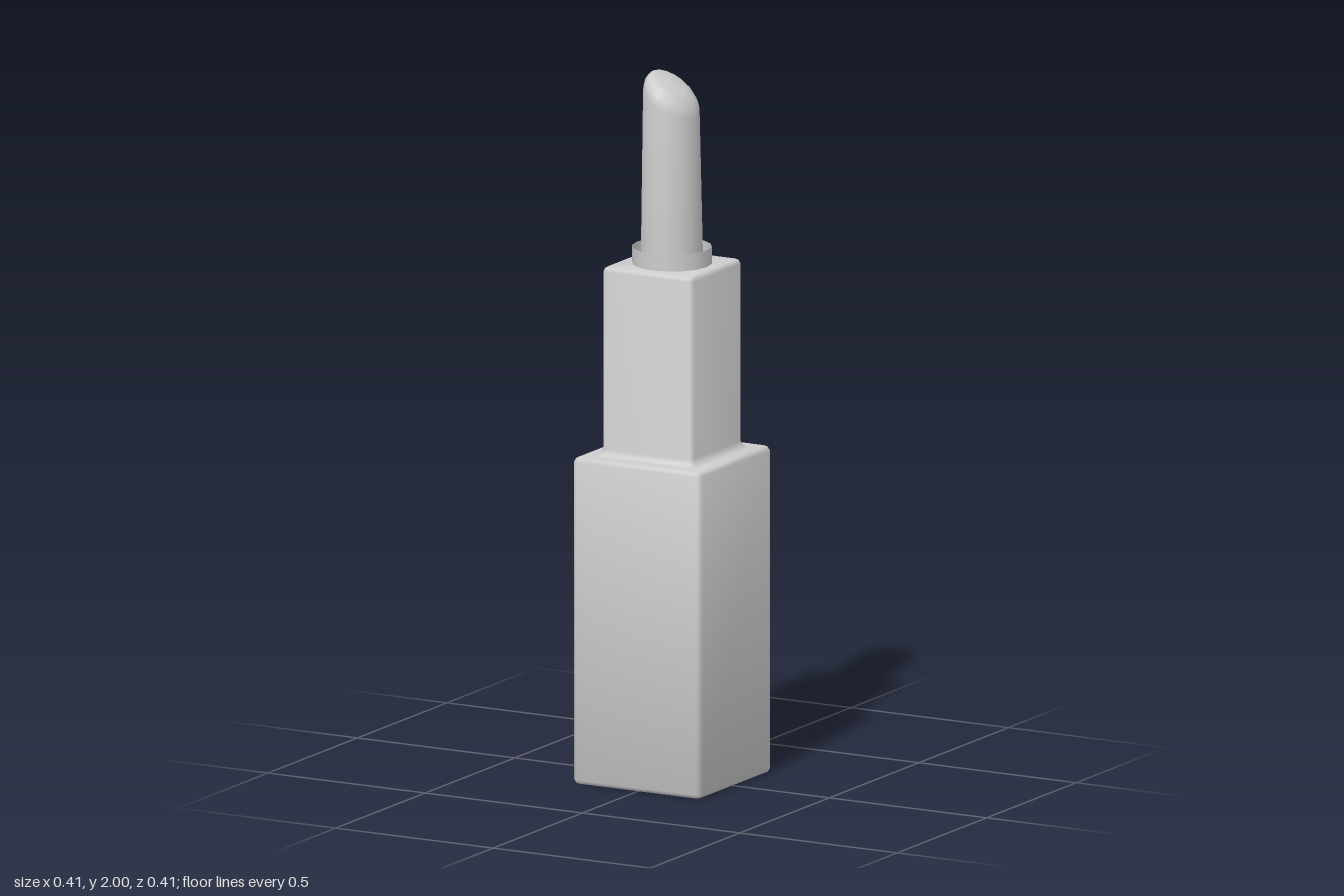
import * as THREE from 'three';
import { toCreasedNormals } from 'three/addons/utils/BufferGeometryUtils.js';

const grey = new THREE.MeshStandardMaterial({ color: 0xcccccc });
const greyOpen = new THREE.MeshStandardMaterial({ color: 0xcccccc, side: THREE.DoubleSide });

// Skin a stack of rings (bottom to top, each counter-clockwise from above), closed at both ends
function loft(rings, crease) {
  const n = rings[0].length, pos = [], idx = [];
  rings.forEach(ring => ring.forEach(p => pos.push(...p)));
  for (let r = 0; r < rings.length - 1; r++) {
    for (let i = 0; i < n; i++) {
      const a = r * n + i, b = r * n + (i + 1) % n;
      idx.push(a, b, b + n, a, b + n, a + n);
    }
  }
  const last = (rings.length - 1) * n;
  for (let i = 1; i < n - 1; i++) {
    idx.push(0, i + 1, i, last, last + i, last + i + 1);
  }
  const g = new THREE.BufferGeometry();
  g.setAttribute('position', new THREE.Float32BufferAttribute(pos, 3));
  g.setIndex(idx);
  return toCreasedNormals(g, crease);
}

// Square of half width h with rounded corners, at height y
function squareRing(h, y, radius) {
  const ring = [], steps = 4;
  for (let c = 0; c < 4; c++) {
    const mid = Math.PI / 4 + c * Math.PI / 2;
    const cx = Math.sign(Math.cos(mid)) * (h - radius), cz = Math.sign(Math.sin(mid)) * (h - radius);
    for (let s = 0; s <= steps; s++) {
      const a = c * Math.PI / 2 + (s / steps) * Math.PI / 2;
      ring.push([cx + radius * Math.cos(a), y, -(cz + radius * Math.sin(a))]);
    }
  }
  return ring;
}

// Ellipse whose height changes with x by the given slope
function slantRing(cx, rx, rz, y, slope, n = 16) {
  return Array.from({ length: n }, (_, i) => {
    const a = (i / n) * Math.PI * 2, x = rx * Math.cos(a);
    return [cx + x, y + slope * x, -rz * Math.sin(a)];
  });
}

export function createModel() {
  const group = new THREE.Group();
  const add = (name, geometry, material = grey) => {
    const mesh = new THREE.Mesh(geometry, material);
    mesh.name = name;
    group.add(mesh);
    return mesh;
  };

  // Lower square case: [half width, height, corner radius]
  add('base', loft([
    [0.19, 0, 0.008], [0.198, 0.003, 0.014], [0.203, 0.012, 0.018],
    [0.203, 0.913, 0.018], [0.198, 0.922, 0.014], [0.19, 0.926, 0.008],
  ].map(p => squareRing(...p)), 0.9));

  // Inner square sleeve, flaring softly where it meets the base
  add('sleeve', loft([
    [0.162, 0.922, 0.022], [0.156, 0.927, 0.02], [0.148, 0.932, 0.018], [0.143, 0.945, 0.016],
    [0.143, 1.447, 0.016], [0.139, 1.456, 0.012], [0.132, 1.46, 0.008],
  ].map(p => squareRing(...p)), 0.9));

  // Thin open ring around the stick
  const collar = add('collar', new THREE.CylinderGeometry(0.111, 0.111, 0.055, 16, 1, true), greyOpen);
  collar.position.y = 1.48;

  // Stick with a slanted, rounded tip: [centre x, radius x, radius z, height, slope]
  add('lipstick', loft([
    [0, 0.087, 0.087, 1.455, 0], [-0.002, 0.077, 0.087, 1.915, -0.45],
    [-0.002, 0.075, 0.084, 1.93, -0.5], [-0.002, 0.071, 0.079, 1.945, -0.54],
    [-0.002, 0.062, 0.068, 1.96, -0.58], [-0.002, 0.053, 0.057, 1.968, -0.6],
    [-0.002, 0.042, 0.045, 1.973, -0.6],
  ].map(p => slantRing(...p)), 0.9));

  return group;
}
